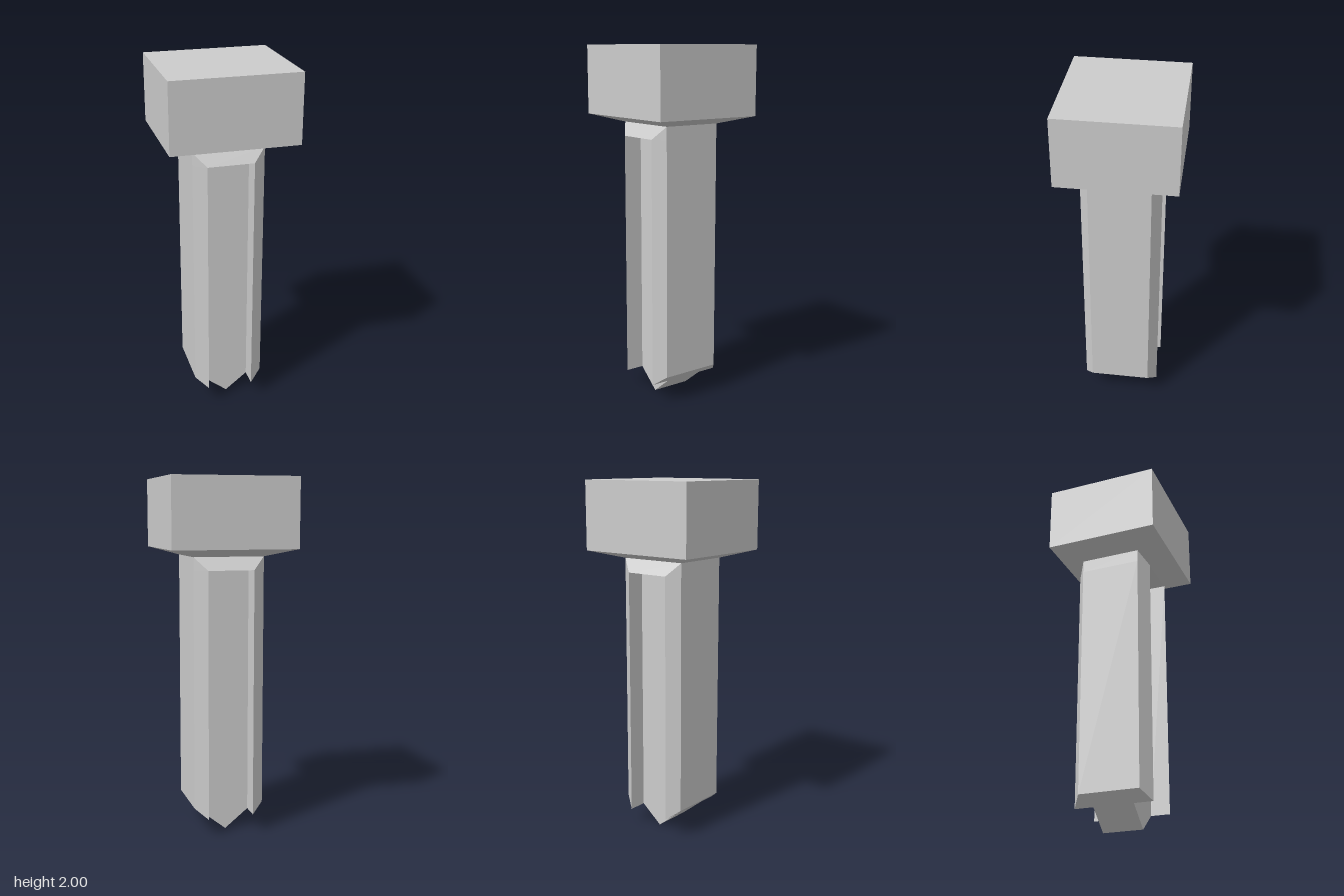
import * as THREE from 'three';

// Joins stacked rings (counterclockwise from above) with flat faces and optional caps.
// Each cap is { ring, ids, up }: the corners of one flat polygon.
function loft(rings, caps) {
  const pos = [];
  const tri = (a, b, c) => {
    const area = new THREE.Vector3().subVectors(b, a).cross(new THREE.Vector3().subVectors(c, a)).length();
    if (area > 1e-7) pos.push(...a.toArray(), ...b.toArray(), ...c.toArray());
  };
  for (let r = 0; r < rings.length - 1; r++) {
    const lo = rings[r], hi = rings[r + 1], n = lo.length;
    for (let i = 0; i < n; i++) {
      const j = (i + 1) % n;
      tri(lo[i], lo[j], hi[j]);
      tri(lo[i], hi[j], hi[i]);
    }
  }
  for (const { ring, ids, up } of caps) {
    const p = ids.map((i) => ring[i]);
    const flat = p.map((v) => new THREE.Vector2(v.x, -v.z));
    for (const [a, b, c] of THREE.ShapeUtils.triangulateShape(flat, [])) {
      if (up) tri(p[a], p[b], p[c]);
      else tri(p[a], p[c], p[b]);
    }
  }
  const geo = new THREE.BufferGeometry();
  geo.setAttribute('position', new THREE.Float32BufferAttribute(pos, 3));
  geo.computeVertexNormals();
  return geo;
}

const ring = (points, y) =>
  points.map(([x, z]) => new THREE.Vector3(x, typeof y === 'function' ? y(x) : y, z));
const rect = (a, b) => [[a, b], [a, -b], [-a, -b], [-a, b]];

export function createModel() {
  const group = new THREE.Group();
  const material = new THREE.MeshStandardMaterial({ color: 0xcccccc, flatShading: true });
  const add = (name, geo) => {
    const mesh = new THREE.Mesh(geo, material);
    mesh.name = name;
    group.add(mesh);
  };

  const W = 0.2, D = 0.17;        // flat sides of the shaft
  const w = 0.13, d = 0.22;       // rims of the grooves
  const g = 0.113, tip = 0.004;   // groove floor, ridge of the wedge tip
  const grooveTop = 1.5, neckTop = 1.572;

  // Shaft: H-shaped section with bevelled corners, cut to a wedge below
  const section = [
    [tip, g], [w, g], [w, d], [W, D], [W, -D], [w, -d], [w, -g],
    [tip, -g], [-w, -g], [-w, -d], [-W, -D], [-W, D], [-w, d], [-w, g],
  ];
  const bottom = ring(section, (x) => 0.8 * Math.abs(x - tip));
  add('shaft', loft([bottom, ring(section, grooveTop)], [
    { ring: bottom, ids: [0, 1, 2, 3, 4, 5, 6, 7] },
    { ring: bottom, ids: [7, 8, 9, 10, 11, 12, 13, 0] },
  ]));

  // Neck: closes the grooves and slopes in to a rectangle
  const octagon = [[w, d], [W, D], [W, -D], [w, -d], [-w, -d], [-W, -D], [-W, D], [-w, d]];
  const doubled = rect(W, D).flatMap((p) => [p, p]);
  const neckBase = ring(octagon, grooveTop);
  add('neck', loft([neckBase, ring(doubled, neckTop)], [
    { ring: neckBase, ids: [0, 1, 2, 3, 4, 5, 6, 7] },
  ]));

  // Head: block with a flared underside
  const top = ring(rect(0.352, 0.32), 2);
  add('head', loft([ring(rect(W, D), neckTop), ring(rect(0.352, 0.32), 1.615), top], [
    { ring: top, ids: [0, 1, 2, 3], up: true },
  ]));

  return group;
}
